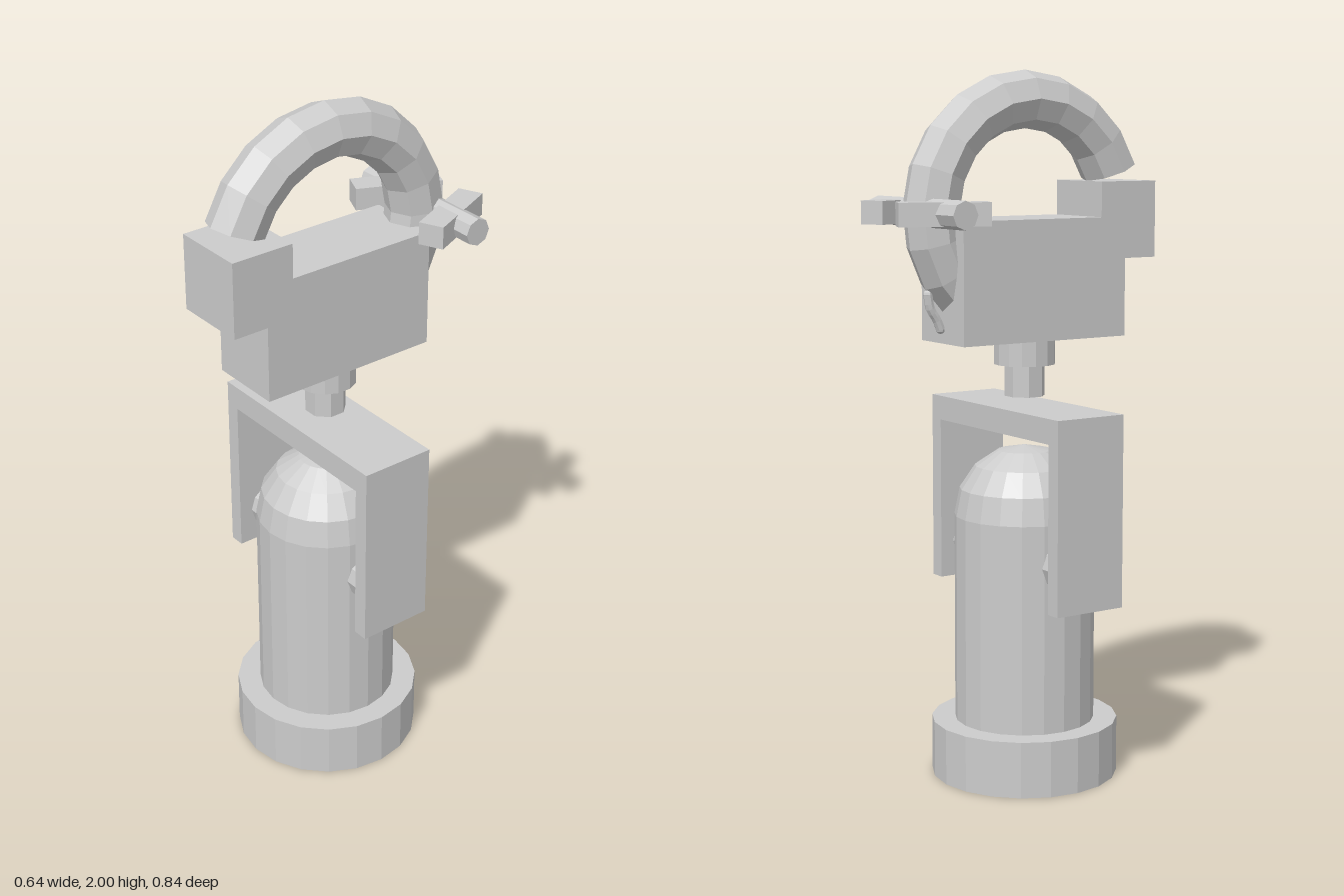
import * as THREE from 'three';

const AXIS_Z = 0.046; // z of the vertical centre line
const material = new THREE.MeshStandardMaterial({
  color: 0xcccccc, flatShading: true, side: THREE.DoubleSide,
});

function addMesh(parent, name, geometry, x = 0, y = 0, z = 0) {
  const mesh = new THREE.Mesh(geometry, material);
  mesh.name = name;
  mesh.position.set(x, y, z);
  parent.add(mesh);
  return mesh;
}

// Prism across x from an outline of [z, y] points, centred on x = 0
function sideProfile(points, width) {
  const shape = new THREE.Shape(points.map(([z, y]) => new THREE.Vector2(z, y)));
  return new THREE.ExtrudeGeometry(shape, { depth: width, bevelEnabled: false })
    .translate(0, 0, -width / 2)
    .rotateY(-Math.PI / 2);
}

export function createModel() {
  const model = new THREE.Group();
  model.name = 'hookBlock';

  // Hollow domed barrel with a thick foot ring
  const domeArc = (r, y) => [0, 1, 2, 3, 4].map((i) => {
    const a = (i * Math.PI) / 8;
    return new THREE.Vector2(i === 4 ? 0 : r * Math.cos(a), y + r * Math.sin(a));
  });
  const barrel = [
    ...domeArc(0.17, 0.755).reverse(),
    new THREE.Vector2(0.17, 0),
    new THREE.Vector2(0.267, 0),
    new THREE.Vector2(0.267, 0.16),
    new THREE.Vector2(0.2, 0.16),
    ...domeArc(0.2, 0.755),
  ];
  addMesh(model, 'barrel', new THREE.LatheGeometry(barrel, 20), 0, 0, AXIS_Z);

  // Inverted U yoke over the barrel
  const yoke = new THREE.Shape([
    [-0.32, 0.53], [-0.275, 0.53], [-0.275, 1.0], [0.275, 1.0],
    [0.275, 0.53], [0.32, 0.53], [0.32, 1.07], [-0.32, 1.07],
  ].map(([x, y]) => new THREE.Vector2(x, y)));
  const yokeGeometry = new THREE.ExtrudeGeometry(yoke, { depth: 0.218, bevelEnabled: false });
  addMesh(model, 'yoke', yokeGeometry, 0, 0, AXIS_Z - 0.109);

  // Pivot pins joining the yoke to the barrel
  for (const side of [-1, 1]) {
    const pin = new THREE.CylinderGeometry(0.068, 0.068, 0.11, 10).rotateZ(Math.PI / 2);
    addMesh(model, side > 0 ? 'leftPin' : 'rightPin', pin, side * 0.235, 0.635, AXIS_Z);
  }

  // Stem and collar under the jaw block
  const stem = new THREE.CylinderGeometry(0.058, 0.058, 0.12, 8).rotateY(Math.PI / 8);
  addMesh(model, 'stem', stem, 0, 1.155, AXIS_Z);
  addMesh(model, 'collar', new THREE.CylinderGeometry(0.087, 0.087, 0.08, 14), 0, 1.225, AXIS_Z);

  // Block with a raised front lip
  addMesh(model, 'jawBlock', sideProfile([
    [-0.225, 1.258], [0.315, 1.258], [0.315, 1.478], [0.42, 1.478],
    [0.42, 1.694], [0.232, 1.694], [0.232, 1.595], [-0.225, 1.595],
  ], 0.218));

  // Faceted hook, open at the front and running into the block at the back
  const hook = new THREE.Group();
  hook.name = 'hook';
  hook.position.set(0, 1.615, AXIS_Z);
  hook.rotation.y = -Math.PI / 2;
  model.add(hook);
  const R = 0.306, r = 0.08;
  const step = THREE.MathUtils.degToRad(17.5), start = THREE.MathUtils.degToRad(20);
  const arc = step * 14;
  addMesh(hook, 'hookBar', new THREE.TorusGeometry(R, r, 8, 14, arc).rotateZ(start));
  [[start, 1], [start + arc, -1]].forEach(([angle, facing]) => {
    const cap = new THREE.CircleGeometry(r, 8)
      .rotateX((facing * Math.PI) / 2)
      .translate(R, 0, 0)
      .rotateZ(angle);
    addMesh(hook, 'hookEnd', cap);
  });

  // Small bent catch on the outside of the hook's lower back
  const catchPath = new THREE.CatmullRomCurve3([
    new THREE.Vector3(0, 1.395, -0.272),
    new THREE.Vector3(0, 1.355, -0.264),
    new THREE.Vector3(0, 1.325, -0.244),
    new THREE.Vector3(0, 1.298, -0.232),
  ]);
  addMesh(model, 'catch', new THREE.TubeGeometry(catchPath, 8, 0.013, 8));
  for (const t of [0, 1]) {
    const p = catchPath.getPoint(t);
    addMesh(model, 'catchEnd', new THREE.SphereGeometry(0.013, 8, 6), p.x, p.y, p.z);
  }

  // Cross bar through the hook with a slanted grip on each side
  const bar = new THREE.CylinderGeometry(0.039, 0.039, 0.454, 8).rotateZ(Math.PI / 2);
  addMesh(model, 'crossBar', bar, 0, 1.617, -0.293);
  for (const side of [-1, 1]) {
    const grip = addMesh(model, side > 0 ? 'leftGrip' : 'rightGrip',
      new THREE.BoxGeometry(0.072, 0.064, 0.248), side * 0.117, 1.617, -0.293);
    grip.rotation.y = side * 0.42;
  }

  return model;
}
